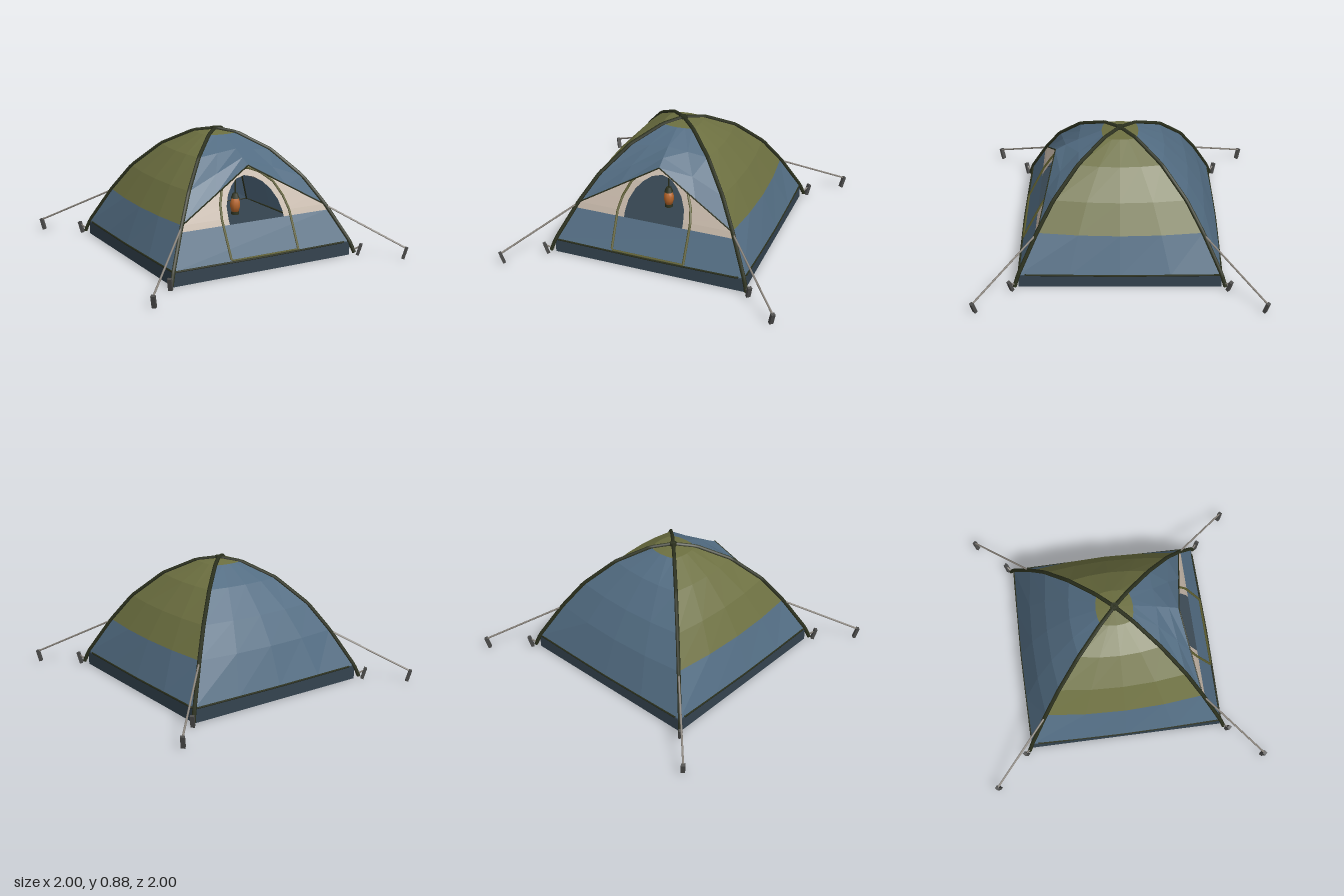
import * as THREE from 'three';

const mat = (name, color, side = THREE.FrontSide) => {
  const m = new THREE.MeshStandardMaterial({ color, side });
  m.name = name;
  return m;
};
const V = (x, y, z) => new THREE.Vector3(x, y, z);
const lerp = THREE.MathUtils.lerp;

// Dome profile, bottom to top: height, reach at the poles, reach at mid panel
const ROWS = [
  [0.10, 0.695, 0.71], [0.36, 0.565, 0.605], [0.55, 0.45, 0.485],
  [0.73, 0.285, 0.315], [0.84, 0.11, 0.13], [0.862, 0, 0],
];

// Reach of the pole line at height y
function reach(y) {
  let i = 0;
  while (i < ROWS.length - 2 && y > ROWS[i + 1][0]) i++;
  const [a, b] = [ROWS[i], ROWS[i + 1]];
  return lerp(a[1], b[1], (y - a[0]) / (b[0] - a[0]));
}

// Faceted sheet through rows of points (bottom to top, left to right)
function sheet(rows) {
  const pos = [];
  for (let r = 0; r < rows.length - 1; r++) {
    for (let c = 0; c < rows[r].length - 1; c++) {
      const a = rows[r][c], b = rows[r][c + 1], d = rows[r + 1][c + 1], e = rows[r + 1][c];
      for (const p of [a, b, d, a, d, e]) pos.push(p.x, p.y, p.z);
    }
  }
  const g = new THREE.BufferGeometry();
  g.setAttribute('position', new THREE.Float32BufferAttribute(pos, 3));
  g.computeVertexNormals();
  return g;
}

// Bulging dome panel facing +z, between two profile rows
function domePanel(from, to) {
  return sheet(ROWS.slice(from, to + 1).map(([y, edge, mid]) =>
    [-1, -0.5, 0, 0.5, 1].map((u) => V(u * edge, y, lerp(edge, mid, 1 - u * u)))));
}

// Straight-segmented tube through points
function tube(points, radius, sides = 6, closed = false) {
  const path = new THREE.CurvePath();
  const pts = closed ? [...points, points[0]] : points;
  for (let i = 0; i < pts.length - 1; i++) path.add(new THREE.LineCurve3(pts[i], pts[i + 1]));
  return new THREE.TubeGeometry(path, pts.length * 6, radius, sides, false);
}

export function createModel() {
  const tent = new THREE.Group();
  tent.name = 'tent';
  const blue = mat('blueFabric', 0x526c82, THREE.DoubleSide);
  const green = mat('oliveFabric', 0x6c6f40, THREE.DoubleSide);
  const cream = mat('creamFabric', 0xbfb1a3, THREE.DoubleSide);
  const lining = mat('innerLining', 0x968c85, THREE.DoubleSide);
  const dark = mat('groundsheet', 0x34434f);
  const poleMat = mat('darkPole', 0x2b301d);
  const trim = mat('oliveTrim', 0x5c5c2e);
  const rope = mat('ropeGrey', 0x8c867e);
  const metal = mat('stakeMetal', 0x4c4c4b);
  const orange = mat('lanternOrange', 0xb5652b);

  const add = (name, geo, material, parent = tent) => {
    const m = new THREE.Mesh(geo, material);
    m.name = name;
    parent.add(m);
    return m;
  };

  // Tub floor with a seam around its top
  add('groundsheetTub', new THREE.BoxGeometry(1.4, 0.095, 1.4).translate(0, 0.0475, 0), dark);
  const rim = [[-1, 1], [0, 1.015], [1, 1], [1.015, 0], [1, -1], [0, -1.015], [-1, -1], [-1.015, 0]];
  add('baseSeam', tube(rim.map(([x, z]) => V(x * 0.698, 0.1, z * 0.698)), 0.007, 5, true), poleMat);

  // Dome panels: sides olive above a blue skirt, back all blue, olive crown
  const sides = { left: Math.PI / 2, back: Math.PI, right: -Math.PI / 2 };
  for (const [name, angle] of Object.entries(sides)) {
    add(name + 'Skirt', domePanel(0, 1).rotateY(angle), blue);
    add(name + 'Panel', domePanel(1, 4).rotateY(angle), name === 'back' ? blue : green);
    add(name + 'Crown', domePanel(4, 5).rotateY(angle), green);
    add(name + 'Lining', domePanel(1, 4).scale(0.97, 0.985, 0.97).rotateY(angle), lining);
  }
  add('frontCrown', domePanel(4, 5), green);

  // Hood standing out over the doorway
  const hoodMid = [[0.68, 0.46], [0.722, 0.385], [0.767, 0.295], [0.84, 0.13]];
  const hoodRows = hoodMid.map(([y, z], i) => {
    const [py, p] = ROWS[i + 1];
    return [-1, -0.5, 0, 0.5, 1].map((u) => {
      const t = Math.abs(u);
      return V(u * p, lerp(y, py, t), lerp(z, p, t));
    });
  });
  add('hood', sheet(hoodRows), blue);
  add('hoodEdge', tube(hoodRows[0], 0.005, 5), poleMat);

  // Front wall: blue lower part, cream upper part around the arched opening
  const wallRow = (y, x0, x1) => [V(x0, y, reach(y)), V(x1, y, reach(y))];
  add('frontLowerWall', sheet([0.1, 0.32].map((y) => wallRow(y, -reach(y), reach(y)))), blue);
  const opening = [[0.32, 0.215], [0.36, 0.215], [0.43, 0.205], [0.5, 0.17], [0.55, 0.125],
    [0.585, 0.07], [0.6, 0], [0.66, 0]];
  for (const s of [-1, 1]) {
    add(s < 0 ? 'frontWallRight' : 'frontWallLeft', sheet(opening.map(([y, h]) =>
      s < 0 ? wallRow(y, -reach(y), -h) : wallRow(y, h, reach(y)))), cream);
  }

  // Zipped door outline
  const half = [[0.265, 0.105], [0.268, 0.36], [0.25, 0.45], [0.205, 0.545], [0.13, 0.61], [0.06, 0.638]];
  const outline = [...half, [0, 0.645], ...half.slice().reverse().map(([x, y]) => [-x, y])];
  add('doorZip', tube(outline.map(([x, y]) => V(x, y, reach(y) + 0.005)), 0.009, 6, true), trim);

  // Crossed poles and hub
  for (const s of [-1, 1]) {
    const arm = [[0.725, 0.02], ...ROWS.map(([y, p]) => [p + 0.004, y + 0.002])].slice(0, -1);
    const pts = [...arm.map(([p, y]) => V(p, y, s * p)), V(0, 0.866, 0),
      ...arm.slice().reverse().map(([p, y]) => V(-p, y, -s * p))];
    add('crossPole', tube(pts, 0.014), poleMat);
  }
  add('poleHub', new THREE.CylinderGeometry(0.026, 0.03, 0.03, 8).translate(0, 0.862, 0), poleMat);

  // Guy line and two stakes at each corner
  for (let i = 0; i < 4; i++) {
    const corner = new THREE.Group();
    corner.name = 'guyCorner';
    corner.rotation.y = Math.PI / 4 + i * Math.PI / 2;
    tent.add(corner);
    const d = Math.SQRT2;
    add('guyLine', tube([V(0, 0.36, 0.56 * d), V(0, 0.08, 0.98 * d)], 0.007, 5), rope, corner);
    add('cornerLoop', tube([V(0, 0.03, 0.71 * d), V(0, 0.07, 0.755 * d)], 0.006, 5), rope, corner);
    for (const r of [0.75, 0.975]) {
      const stake = add('stake', new THREE.BoxGeometry(0.028, 0.086, 0.022), metal, corner);
      stake.position.set(0, 0.045, r * d);
      stake.rotation.x = 0.28;
    }
  }

  // Lantern hanging inside the doorway
  const lantern = new THREE.Group();
  lantern.name = 'lantern';
  lantern.position.z = 0.29;
  tent.add(lantern);
  add('hangingCord', new THREE.CylinderGeometry(0.005, 0.005, 0.27, 6).translate(0, 0.575, 0), poleMat, lantern);
  add('lanternCap', new THREE.CylinderGeometry(0.018, 0.032, 0.035, 8).translate(0, 0.43, 0), poleMat, lantern);
  const glass = [[0, 0.31], [0.024, 0.31], [0.036, 0.35], [0.036, 0.38], [0.024, 0.415], [0, 0.415]];
  add('lanternGlass', new THREE.LatheGeometry(glass.map(([x, y]) => new THREE.Vector2(x, y)), 10), orange, lantern);
  add('lanternBase', new THREE.CylinderGeometry(0.028, 0.03, 0.02, 8).translate(0, 0.305, 0), poleMat, lantern);

  return tent;
}
